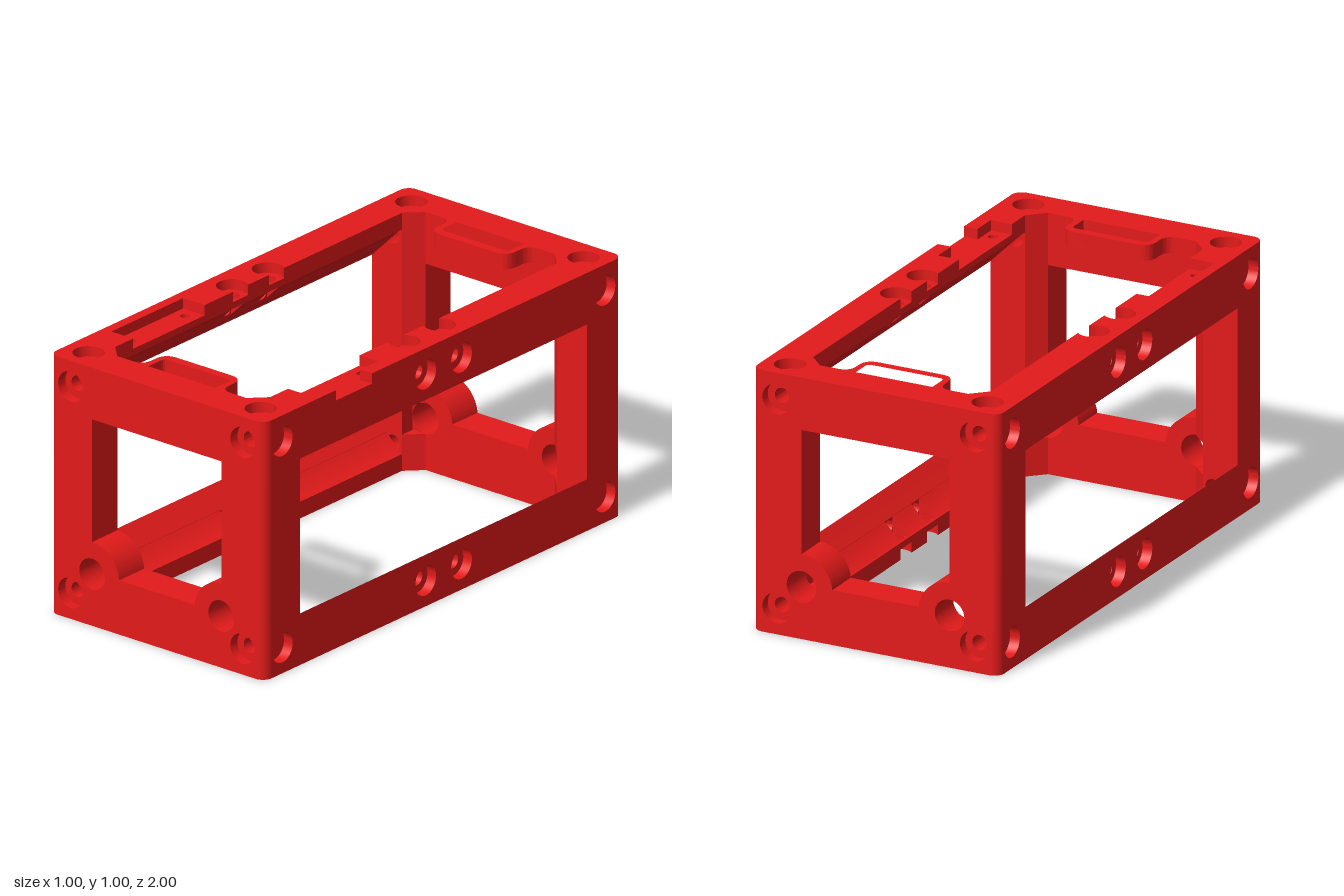
import * as THREE from 'three';
import { toCreasedNormals } from 'three/addons/utils/BufferGeometryUtils.js';

const SKIN = 0.04;   // depth of the counterbores and of the outer skin
const BORE = 0.058;  // counterbore radius
const DRILL = 0.029; // screw hole radius

export function createModel() {
  const model = new THREE.Group();
  model.name = 'boxFrame';
  const red = new THREE.MeshStandardMaterial({ color: 0xe31a1a });

  const add = (name, geometry) => {
    const mesh = new THREE.Mesh(toCreasedNormals(geometry, 0.6), red);
    mesh.name = name;
    model.add(mesh);
  };
  const poly = (...pts) => new THREE.Shape(pts.map(([x, y]) => new THREE.Vector2(x, y)));
  const rect = (x0, y0, x1, y1) => poly([x0, y0], [x1, y0], [x1, y1], [x0, y1]);
  const drill = (shape, r, ...centres) => {
    for (const [x, y] of centres) shape.holes.push(new THREE.Path().absarc(x, y, r, 0, Math.PI * 2));
    return shape;
  };
  // Plate between a and b along an axis; drawn in (x,y) for z, (x,z) for y, (z,y) for x
  const slab = (axis, shape, a, b) => {
    const g = new THREE.ExtrudeGeometry(shape, { depth: Math.abs(b - a), bevelEnabled: false, curveSegments: 20 });
    if (axis === 'z') return g.translate(0, 0, Math.min(a, b));
    if (axis === 'y') return g.rotateX(Math.PI / 2).translate(0, Math.max(a, b), 0);
    return g.rotateY(-Math.PI / 2).translate(Math.max(a, b), 0, 0);
  };
  const signs = [1, -1];
  const corners = [[0.4, 0.1], [-0.4, 0.1], [0.4, 0.9], [-0.4, 0.9]];

  // Front and back walls: window with two rounded bosses
  const wall = (y0, y1, r) => {
    const s = rect(-0.46, y0, 0.46, y1);
    const w = new THREE.Path();
    w.moveTo(-0.3, 0.8);
    w.lineTo(0.3, 0.8);
    w.lineTo(0.3, 0.325);
    w.absarc(0.3, 0.2, 0.125, Math.PI / 2, Math.PI - 0.08, false);
    w.lineTo(-0.175, 0.21);
    w.absarc(-0.3, 0.2, 0.125, 0.08, Math.PI / 2, false);
    w.closePath();
    s.holes.push(w);
    drill(s, 0.06, [0.3, 0.2], [-0.3, 0.2]);
    return drill(s, r, ...corners);
  };
  for (const sz of signs) {
    const name = sz > 0 ? 'front' : 'back';
    add(name + 'WallFace', slab('z', wall(0, 1, BORE), sz * (1 - SKIN), sz));
    add(name + 'WallCore', slab('z', wall(SKIN, 1 - SKIN, DRILL), sz * 0.86, sz * (1 - SKIN)));
  }

  // Side faces: long window, with its inner upper and lower edges chamfered
  for (const sx of signs) {
    const outline = [[-0.96, 0], [0.96, 0], [0.96, 1]];
    if (sx > 0) outline.push([0.6, 1], [0.6, 0.96], [0.4, 0.96], [0.4, 1]);
    const s = poly(...outline, [-0.96, 1]);
    s.holes.push(rect(-0.8, 0.2, 0.8, 0.8));
    for (const y of [0.1, 0.9]) drill(s, BORE, [0.1, y], [-0.1, y], [0.9, y], [-0.9, y]);
    const g = slab('x', s, sx * 0.46, sx * 0.5);
    const p = g.attributes.position;
    for (let i = 0; i < p.count; i++) {
      const dy = p.getY(i) - 0.5;
      if (Math.abs(p.getX(i)) < 0.47 && Math.abs(Math.abs(dy) - 0.3) < 1e-4) p.setY(i, 0.5 + Math.sign(dy) * 0.34);
    }
    g.computeVertexNormals();
    add(sx > 0 ? 'leftSideFace' : 'rightSideFace', g);
  }

  // Corner posts: rounded outer edge, drilled core and inner chamfer
  for (const sx of signs) for (const sz of signs) {
    const start = sx > 0 ? (sz > 0 ? 0 : 1) : (sz > 0 ? 3 : 2);
    add('postOuterEdge', new THREE.CylinderGeometry(0.04, 0.04, 1, 8, 1, false, start * Math.PI / 2, Math.PI / 2)
      .translate(sx * 0.46, 0.5, sz * 0.96));
    const core = drill(rect(sx * 0.36, SKIN, sx * 0.46, 1 - SKIN), DRILL, [sx * 0.4, 0.1], [sx * 0.4, 0.9]);
    add('postCore', slab('z', core, sz * 0.8, sz * 0.86));
    const wedge = poly([sx * 0.36, sz * 0.8], [sx * 0.36, sz * 0.86], [sx * 0.3, sz * 0.86]);
    add('postChamfer', slab('y', wedge, SKIN, 0.14));
    add('postChamfer', slab('y', wedge, 0.26, 1 - SKIN));
  }

  // Flat strip of a long rail, its counterbores breaking through the inner edge
  const railFace = (sx, z0, z1) => {
    const s = new THREE.Shape();
    const a = Math.atan2(0.042, 0.04);
    s.moveTo(sx * 0.46, z0);
    s.lineTo(sx * 0.36, z0);
    for (const zc of [-0.1, 0.1]) {
      if (zc < z0 || zc > z1) continue;
      for (let i = 0; i <= 20; i++) {
        const t = -Math.PI + a + (2 * Math.PI - 2 * a) * i / 20;
        s.lineTo(sx * (0.4 + BORE * Math.cos(t)), zc + BORE * Math.sin(t));
      }
    }
    s.lineTo(sx * 0.36, z1);
    s.lineTo(sx * 0.46, z1);
    return s;
  };

  for (const top of [true, false]) {
    const Y = (y) => (top ? y : 1 - y); // mirrors heights for the lower half
    const level = top ? 'top' : 'bottom';

    // End strips, joining the posts
    for (const sz of signs) {
      const end = poly([0.46, sz * 0.96], [0.46, sz * 0.8], [0.36, sz * 0.8], [0.3, sz * 0.86],
        [-0.3, sz * 0.86], [-0.36, sz * 0.8], [-0.46, sz * 0.8], [-0.46, sz * 0.96]);
      drill(end, BORE, [0.4, sz * 0.9], [-0.4, sz * 0.9]);
      add(level + 'EndFace', slab('y', end, Y(0.96), Y(1)));
    }

    for (const sx of signs) {
      // Outer strip, interrupted by the mounting recess on top
      const spans = top ? [[-0.8, 0.3], [0.7, 0.8]] : [[-0.8, 0.8]];
      for (const [z0, z1] of spans) add(level + 'RailFace', slab('y', railFace(sx, z0, z1), Y(0.96), Y(1)));
      if (top && sx > 0) {
        for (const [z0, z1] of [[0.3, 0.4], [0.6, 0.7]]) {
          add('recessLip', slab('y', rect(0.445, z0, 0.46, z1), 0.96, 1));
        }
      }

      // Drilled flange under the strip
      const flange = drill(rect(sx * 0.36, -0.8, sx * 0.46, 0.8), DRILL, [sx * 0.4, 0.1], [sx * 0.4, -0.1]);
      if (top) drill(flange, 0.018, [sx * 0.41, 0.35], [sx * 0.41, 0.65]);
      add(level + 'RailFlange', slab('y', flange, Y(0.935), Y(0.96)));

      // Drilled web behind the side face, lower edge sloped
      const web = drill(rect(-0.8, Y(0.84), 0.8, Y(0.96)), DRILL, [0.1, Y(0.9)], [-0.1, Y(0.9)]);
      const g = slab('x', web, sx * 0.43, sx * 0.46);
      const p = g.attributes.position;
      for (let i = 0; i < p.count; i++) {
        if (Math.abs(p.getX(i)) < 0.44 && Math.abs(p.getY(i) - Y(0.84)) < 1e-4) p.setY(i, Y(0.869));
      }
      g.computeVertexNormals();
      add(level + 'RailWeb', g);

      // Sloped filling between the drillings
      for (const [z0, z1] of [[-0.8, -0.13], [-0.07, 0.07], [0.13, 0.8]]) {
        const fill = poly([sx * 0.36, Y(0.936)], [sx * 0.365, Y(0.935)], [sx * 0.43, Y(0.87)], [sx * 0.43, Y(0.936)]);
        add(level + 'RailSlope', slab('z', fill, z0, z1));
      }
    }
  }

  // Slotted tabs reaching inward at both ends of the top opening
  for (const sz of signs) {
    const tab = new THREE.Shape();
    tab.moveTo(-0.23, sz * 0.87);
    tab.lineTo(-0.23, sz * 0.86);
    tab.quadraticCurveTo(-0.18, sz * 0.86, -0.18, sz * 0.81);
    tab.lineTo(-0.18, sz * 0.79);
    tab.quadraticCurveTo(-0.18, sz * 0.735, -0.125, sz * 0.735);
    tab.lineTo(0.125, sz * 0.735);
    tab.quadraticCurveTo(0.18, sz * 0.735, 0.18, sz * 0.79);
    tab.lineTo(0.18, sz * 0.81);
    tab.quadraticCurveTo(0.18, sz * 0.86, 0.23, sz * 0.86);
    tab.lineTo(0.23, sz * 0.87);
    const slot = new THREE.Path();
    slot.moveTo(-0.155, sz * 0.86);
    slot.lineTo(-0.155, sz * 0.79);
    slot.quadraticCurveTo(-0.155, sz * 0.77, -0.135, sz * 0.77);
    slot.lineTo(0.135, sz * 0.77);
    slot.quadraticCurveTo(0.155, sz * 0.77, 0.155, sz * 0.79);
    slot.lineTo(0.155, sz * 0.86);
    slot.closePath();
    tab.holes.push(slot);
    add('slottedTab', slab('y', tab, 0.94, 1));
  }
  return model;
}
